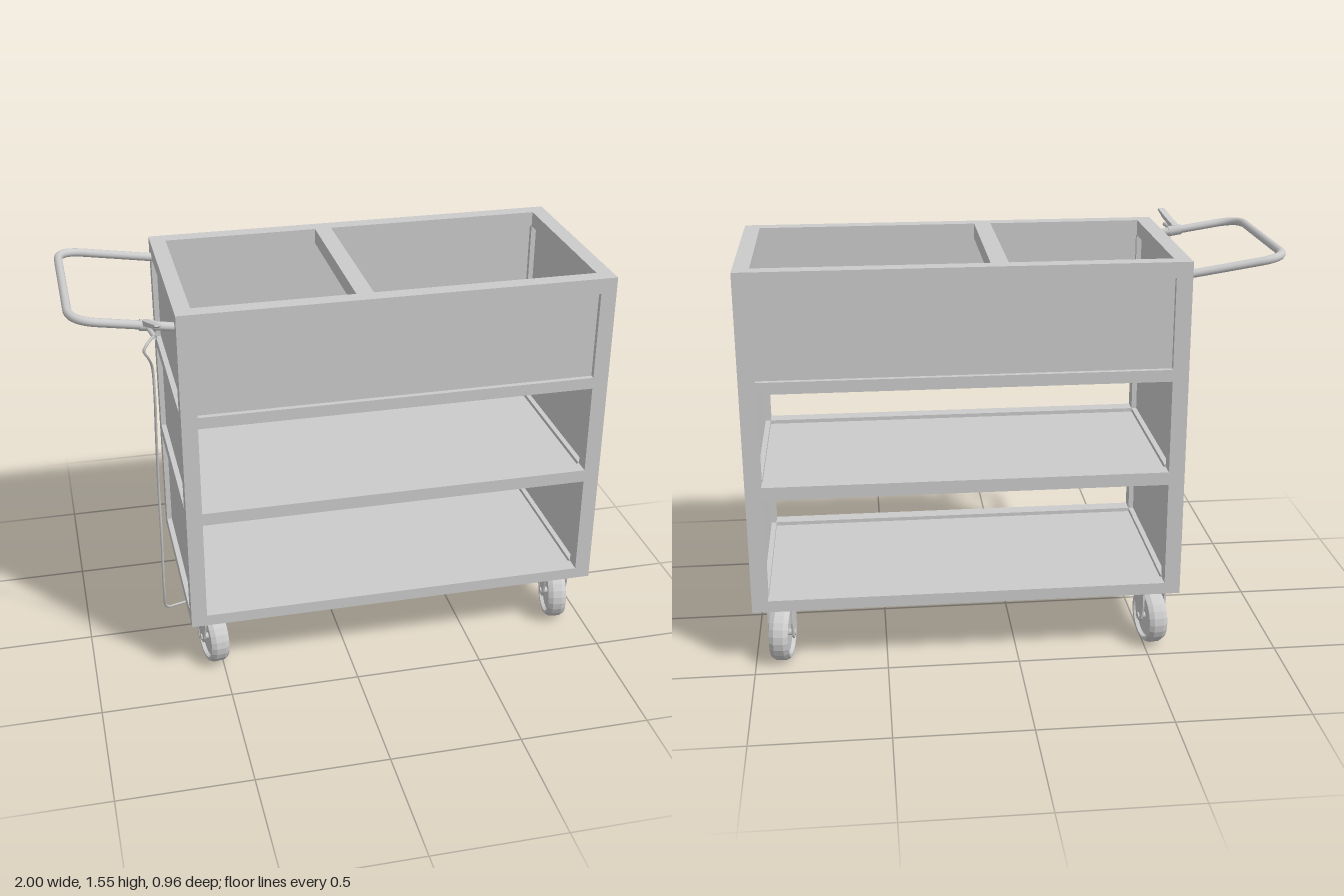
import * as THREE from 'three';

const GREY = new THREE.MeshStandardMaterial({ color: 0xcccccc, side: THREE.DoubleSide });

// Cart body extents and frame bar width
const X0 = -0.625, X1 = 1, Y0 = 0.235, Y1 = 1.535, Z0 = -0.455, Z1 = 0.355, BAR = 0.06;
const BAYS = [[0.28, 0.685], [0.735, 1.09], [1.135, 1.475]];

function add(parent, name, geometry, x = 0, y = 0, z = 0) {
  const mesh = new THREE.Mesh(geometry, GREY);
  mesh.name = name;
  mesh.position.set(x, y, z);
  parent.add(mesh);
  return mesh;
}

// Box given by its two opposite corners
function block(parent, name, x0, x1, y0, y1, z0, z1) {
  return add(parent, name, new THREE.BoxGeometry(x1 - x0, y1 - y0, z1 - z0),
    (x0 + x1) / 2, (y0 + y1) / 2, (z0 + z1) / 2);
}

function polygon(points) {
  return new THREE.Shape(points.map(([x, y]) => new THREE.Vector2(x, y)));
}

function rect(a0, a1, b0, b1) {
  return polygon([[a0, b0], [a1, b0], [a1, b1], [a0, b1]]);
}

// Upright frame with three window openings
function frameGeometry(a0, a1, open0, open1) {
  const shape = rect(a0, a1, Y0, Y1);
  for (const [b0, b1] of BAYS) shape.holes.push(rect(open0, open1, b0, b1));
  return new THREE.ExtrudeGeometry(shape, { depth: BAR, bevelEnabled: false });
}

function tube(parent, name, curve, segments, radius, sides) {
  return add(parent, name, new THREE.TubeGeometry(curve, segments, radius, sides));
}

function buildBody() {
  const body = new THREE.Group();
  body.name = 'cartBody';

  // End frames lie along z, long frames fit between them
  for (const x of [X0, X1 - BAR]) {
    add(body, 'endFrame', frameGeometry(-Z1, -Z0, -Z1 + BAR, -Z0 - BAR), x).rotation.y = Math.PI / 2;
  }
  for (const z of [Z0, Z1 - BAR]) {
    add(body, 'longFrame', frameGeometry(X0 + BAR, X1 - BAR, X0 + BAR, X1 - BAR), 0, 0, z);
  }

  // Thin sheets set back inside the frames
  const inset = 0.02, sheet = 0.02;
  for (const [y0, y1] of BAYS) {
    for (const x of [X0 + inset, X1 - inset - sheet]) {
      block(body, 'endPanel', x, x + sheet, y0, y1, Z0 + BAR, Z1 - BAR);
    }
  }
  const [binFloor, binTop] = BAYS[2];
  for (const z of [Z0 + inset, Z1 - inset - sheet]) {
    block(body, 'binPanel', X0 + BAR, X1 - BAR, binFloor, binTop, z, z + sheet);
  }

  // Shelf floors, with the frame standing up as a small lip
  const floors = [['bottomShelf', Y0, 0.265], ['middleShelf', 0.685, 0.72], ['binFloor', 1.09, 1.12]];
  for (const [name, y0, y1] of floors) {
    block(body, name, X0 + BAR, X1 - BAR, y0, y1, Z0 + BAR, Z1 - BAR);
  }

  // Cross bar over the open bin
  block(body, 'binDivider', 0.03, 0.095, binTop, Y1, Z0 + BAR, Z1 - BAR);
  return body;
}

function buildHandle() {
  const xEnd = -0.984, bend = 0.1, zBack = -0.39, zFront = 0.302;
  // The handle rises as it leaves the cart
  const p = (x, z) => new THREE.Vector3(x, 1.474 + (X0 - x) * 0.155, z);
  const path = new THREE.CurvePath();
  path.add(new THREE.LineCurve3(p(X0 + 0.01, zBack), p(xEnd + bend, zBack)));
  path.add(new THREE.QuadraticBezierCurve3(p(xEnd + bend, zBack), p(xEnd, zBack), p(xEnd, zBack + bend)));
  path.add(new THREE.LineCurve3(p(xEnd, zBack + bend), p(xEnd, zFront - bend)));
  path.add(new THREE.QuadraticBezierCurve3(p(xEnd, zFront - bend), p(xEnd, zFront), p(xEnd + bend, zFront)));
  path.add(new THREE.LineCurve3(p(xEnd + bend, zFront), p(X0 + 0.01, zFront)));
  const handle = new THREE.Group();
  handle.name = 'pushHandle';
  tube(handle, 'handleTube', path, 90, 0.016, 12);
  return handle;
}

function buildBrake() {
  const brake = new THREE.Group();
  brake.name = 'brakeLever';

  // Clamp around the handle
  const clamp = add(brake, 'leverClamp', new THREE.CylinderGeometry(0.021, 0.021, 0.05, 12), -0.72, 1.489, 0.302);
  clamp.rotation.z = Math.PI / 2 - 0.155;

  // Curved blade, profile in z and y
  const blade = polygon([[0.3, 1.485], [0.36, 1.508], [0.41, 1.522], [0.455, 1.546],
    [0.452, 1.552], [0.4, 1.536], [0.35, 1.522], [0.3, 1.51]]);
  const bladeGeometry = new THREE.ExtrudeGeometry(blade, { depth: 0.026, bevelEnabled: false });
  bladeGeometry.rotateY(-Math.PI / 2);
  // Lean the blade sideways toward its tip
  const pos = bladeGeometry.attributes.position;
  for (let i = 0; i < pos.count; i++) pos.setX(i, pos.getX(i) - 0.712 + (pos.getZ(i) - 0.3) * 0.2);
  bladeGeometry.computeVertexNormals();
  add(brake, 'leverBlade', bladeGeometry);

  // Cable holder below the blade
  const holder = new THREE.LineCurve3(new THREE.Vector3(-0.72, 1.487, 0.3), new THREE.Vector3(-0.705, 1.492, 0.42));
  tube(brake, 'cableHolder', holder, 2, 0.009, 8);

  // Cable hanging down and running under the cart
  const cable = new THREE.CatmullRomCurve3([
    [-0.71, 1.492, 0.41], [-0.735, 1.492, 0.465], [-0.75, 1.472, 0.475], [-0.735, 1.435, 0.455],
    [-0.718, 1.37, 0.405], [-0.715, 1.25, 0.39], [-0.715, 1.1, 0.355], [-0.715, 0.85, 0.31],
    [-0.715, 0.6, 0.3], [-0.715, 0.35, 0.265], [-0.705, 0.25, 0.21], [-0.65, 0.205, 0.14],
    [-0.55, 0.188, 0.08], [-0.4, 0.195, 0.02], [-0.21, 0.222, -0.04],
  ].map((q) => new THREE.Vector3(...q)));
  tube(brake, 'brakeCable', cable, 140, 0.005, 6);
  return brake;
}

function buildCaster() {
  const caster = new THREE.Group();
  caster.name = 'caster';
  const r = 0.108, half = 0.036;

  // Wheel with a rounded tread and a recessed disc
  const profile = [[0, -0.022], [0.082, -0.022], [0.086, -half], [0.098, -half], [r, -0.018],
    [r, 0.018], [0.098, half], [0.086, half], [0.082, 0.022], [0, 0.022]];
  const wheelGeometry = new THREE.LatheGeometry(profile.map(([x, y]) => new THREE.Vector2(x, y)), 24).toNonIndexed();
  wheelGeometry.computeVertexNormals();
  wheelGeometry.rotateZ(Math.PI / 2);
  add(caster, 'wheel', wheelGeometry, 0, r, 0);

  const axle = add(caster, 'axle', new THREE.CylinderGeometry(0.013, 0.013, 0.104, 10), 0, r, 0);
  axle.rotation.z = Math.PI / 2;

  // Tapered fork cheeks, joined by a plate under the cart
  const cheek = polygon([[-0.05, 0.23], [0.045, 0.23], [0.045, 0.165], [0.03, 0.105],
    [0.012, 0.088], [-0.012, 0.088], [-0.03, 0.115], [-0.05, 0.185]]);
  for (const x of [-0.047, 0.04]) {
    const geometry = new THREE.ExtrudeGeometry(cheek, { depth: 0.007, bevelEnabled: false });
    geometry.rotateY(-Math.PI / 2);
    geometry.scale(1, 1, -1);
    // Restore the face direction after mirroring
    const a = geometry.attributes.position;
    for (let i = 0; i < a.count; i += 3) {
      const p = new THREE.Vector3().fromBufferAttribute(a, i + 1);
      a.setXYZ(i + 1, a.getX(i + 2), a.getY(i + 2), a.getZ(i + 2));
      a.setXYZ(i + 2, p.x, p.y, p.z);
    }
    geometry.computeVertexNormals();
    add(caster, 'forkCheek', geometry, x + 0.007);
  }
  block(caster, 'forkPlate', -0.047, 0.047, 0.222, Y0, -0.045, 0.05);
  return caster;
}

export function createModel() {
  const model = new THREE.Group();
  model.name = 'serviceCart';
  model.add(buildBody(), buildHandle(), buildBrake());

  // Four swivelled casters
  for (const [x, yaw] of [[-0.53, 0.16], [0.896, -0.14]]) {
    for (const z of [0.24, -0.37]) {
      const caster = buildCaster();
      caster.position.set(x, 0, z);
      caster.rotation.y = yaw;
      model.add(caster);
    }
  }
  return model;
}
